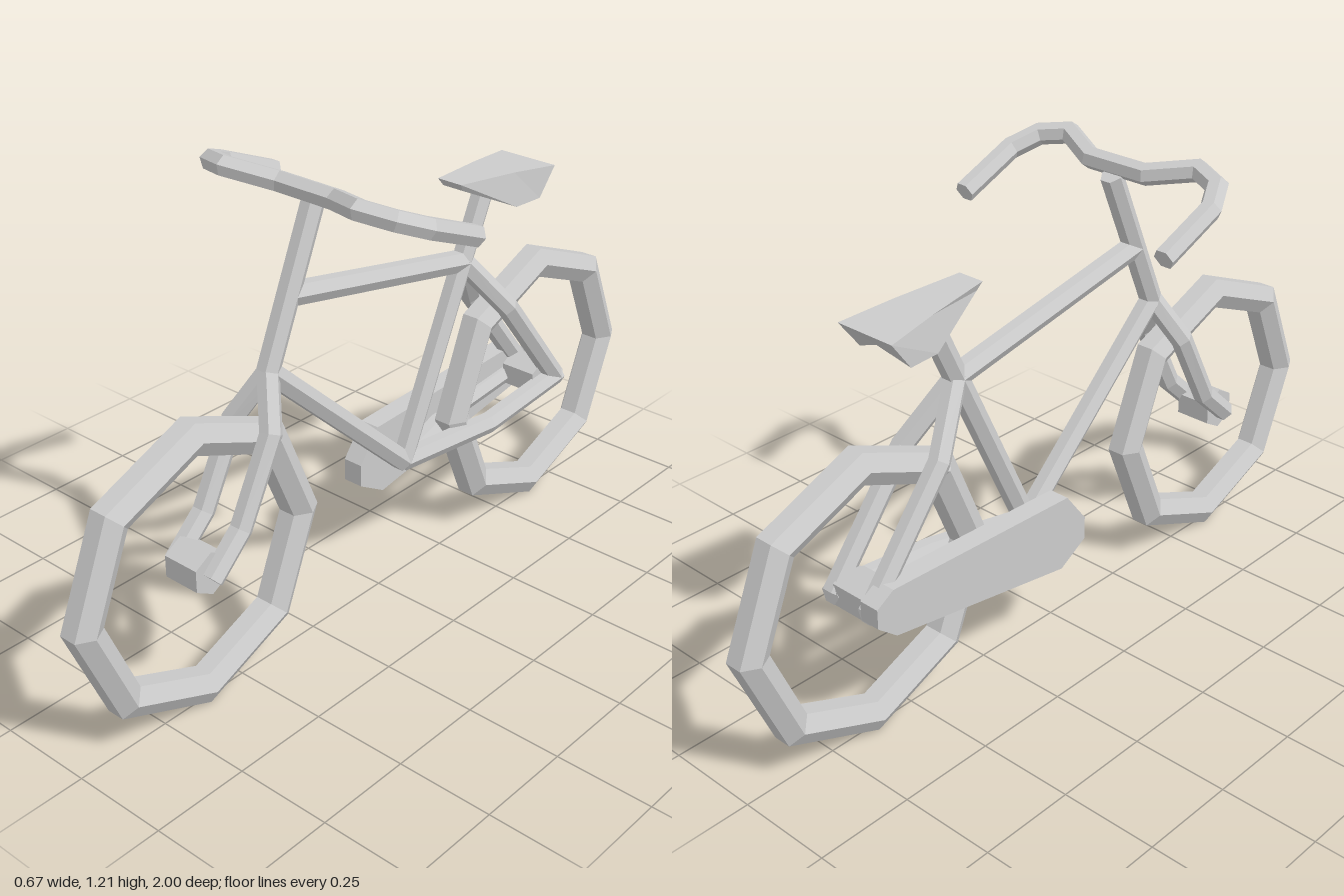
import * as THREE from 'three';

const V = (x, y, z) => new THREE.Vector3(x, y, z);
const material = new THREE.MeshStandardMaterial({ color: 0xcccccc, flatShading: true });

function add(group, name, geometry) {
  const mesh = new THREE.Mesh(geometry, material);
  mesh.name = name;
  group.add(mesh);
  return mesh;
}

// Skin a series of equal-sized rings (counter-clockwise along the path) and cap both ends
function loft(rings) {
  const n = rings[0].length, last = rings.length - 1, index = [];
  const points = rings.flat();
  for (let i = 0; i < last; i++) {
    for (let k = 0; k < n; k++) {
      const a = i * n + k, b = i * n + (k + 1) % n;
      index.push(a, b, b + n, a, b + n, a + n);
    }
  }
  for (const end of [0, last]) {
    const centre = V(0, 0, 0);
    rings[end].forEach(p => centre.addScaledVector(p, 1 / n));
    const c = points.push(centre) - 1;
    for (let k = 0; k < n; k++) {
      const a = end * n + k, b = end * n + (k + 1) % n;
      if (end) index.push(c, a, b); else index.push(c, b, a);
    }
  }
  const geometry = new THREE.BufferGeometry().setFromPoints(points);
  geometry.setIndex(index);
  geometry.computeVertexNormals();
  return geometry;
}

// Six-sided tube with mitred bends; "across" fixes its roll
function hexTube(path, radius, across = V(1, 0, 0), turn = 0) {
  return loft(path.map((p, i) => {
    const before = p.clone().sub(path[Math.max(i - 1, 0)]).normalize();
    const after = path[Math.min(i + 1, path.length - 1)].clone().sub(p).normalize();
    const t = before.clone().add(after).normalize();
    const mitre = 1 / Math.max(t.dot(after), t.dot(before));
    const u = across.clone().addScaledVector(t, -across.dot(t)).normalize();
    const v = t.clone().cross(u);
    return Array.from({ length: 6 }, (_, k) => {
      const a = turn + k * Math.PI / 3;
      return p.clone().addScaledVector(u, radius * Math.cos(a))
        .addScaledVector(v, radius * mitre * Math.sin(a));
    });
  }));
}

export function createModel() {
  const model = new THREE.Group();
  model.name = 'bicycle';

  // Eight-sided wheels with a hexagonal rim section, and their hubs
  const section = [];
  for (let k = 0; k <= 6; k++) {
    const a = k * Math.PI / 3 - Math.PI / 2;
    section.push(new THREE.Vector2(0.334 + 0.047 * Math.cos(a), 0.047 * Math.sin(a)));
  }
  const wheel = new THREE.LatheGeometry(section, 8).rotateZ(Math.PI / 2);
  const hub = new THREE.CylinderGeometry(0.056, 0.056, 0.1, 6)
    .rotateY(Math.PI / 2).rotateZ(Math.PI / 2);
  hub.rotateX(Math.PI / 6 * (isPointUp(hub) ? 0 : 1));
  for (const [side, z] of [['front', 0.625], ['rear', -0.625]]) {
    add(model, side + 'Wheel', wheel).position.set(0, 0.375, z);
    add(model, side + 'Hub', hub).position.set(0, 0.375, z);
  }

  // Main frame tubes
  const bottom = V(0, 0.33, -0.093), seatJoint = V(0, 0.81, -0.318);
  const crown = V(0, 0.77, 0.378);
  const tubes = {
    steeringTube: [V(0, 1.145, 0.215), crown],
    topTube: [V(0, 0.935, 0.305), seatJoint],
    downTube: [crown, bottom],
    seatTube: [bottom, V(0, 0.98, -0.398)],
  };
  for (const [name, path] of Object.entries(tubes)) add(model, name, hexTube(path, 0.029));

  // Paired fork blades and rear stays
  for (const [side, s] of [['left', 1], ['right', -1]]) {
    const x = 0.06 * s;
    add(model, side + 'ForkBlade', hexTube(
      [crown, V(x, 0.655, 0.435), V(x, 0.455, 0.54), V(x, 0.367, 0.635)], 0.028));
    add(model, side + 'SeatStay', hexTube(
      [seatJoint, V(x, 0.66, -0.435), V(x, 0.37, -0.665)], 0.028));
    add(model, side + 'ChainStay', hexTube(
      [bottom, V(x, 0.345, -0.37), V(x, 0.373, -0.675)], 0.028));
  }

  // Swept handlebar lying in one tilted plane
  const half = [[0.085, 0.237], [0.2, 0.292], [0.275, 0.262], [0.31, 0.195], [0.31, 0.03]];
  const outline = [...half.map(([x, z]) => [-x, z]).reverse(), ...half];
  const barPath = outline.map(([x, z]) => V(x, 1.075 + 0.42 * (z - 0.03), z));
  add(model, 'handlebar', hexTube(barPath, 0.027, V(0, 1, -0.42).normalize(), Math.PI / 6));

  // Saddle: narrow nose widening to a tail with an arched underside
  // [top z, top y, top half width, bottom z, bottom y, bottom half width, arch y]
  const saddle = [
    [-0.262, 1.037, 0.036, -0.275, 1.017, 0.03, 1.017],
    [-0.44, 1.025, 0.062, -0.44, 0.937, 0.074, 0.965],
    [-0.582, 1.01, 0.084, -0.527, 0.937, 0.081, 0.965],
  ].map(([tz, ty, tw, bz, by, bw, arch]) => [
    V(tw, ty, tz), V(bw, by, bz), V(0, arch, bz), V(-bw, by, bz), V(-tw, ty, tz),
  ]);
  add(model, 'saddle', loft(saddle));

  // Chain guard on the right side, drawn as (-z, y) and extruded across x
  const guard = new THREE.Shape([
    [-0.005, 0.335], [-0.005, 0.275], [0.08, 0.225], [0.63, 0.315],
    [0.685, 0.36], [0.685, 0.41], [0.635, 0.44], [0.06, 0.42],
  ].map(p => new THREE.Vector2(...p)));
  const guardGeometry = new THREE.ExtrudeGeometry(guard, { depth: 0.055, bevelEnabled: false });
  add(model, 'chainGuard', guardGeometry.rotateY(Math.PI / 2).translate(-0.11, 0, 0));

  return model;
}

// True when a hub already has a corner at its top
function isPointUp(geometry) {
  geometry.computeBoundingBox();
  return geometry.boundingBox.max.y > 0.055;
}
